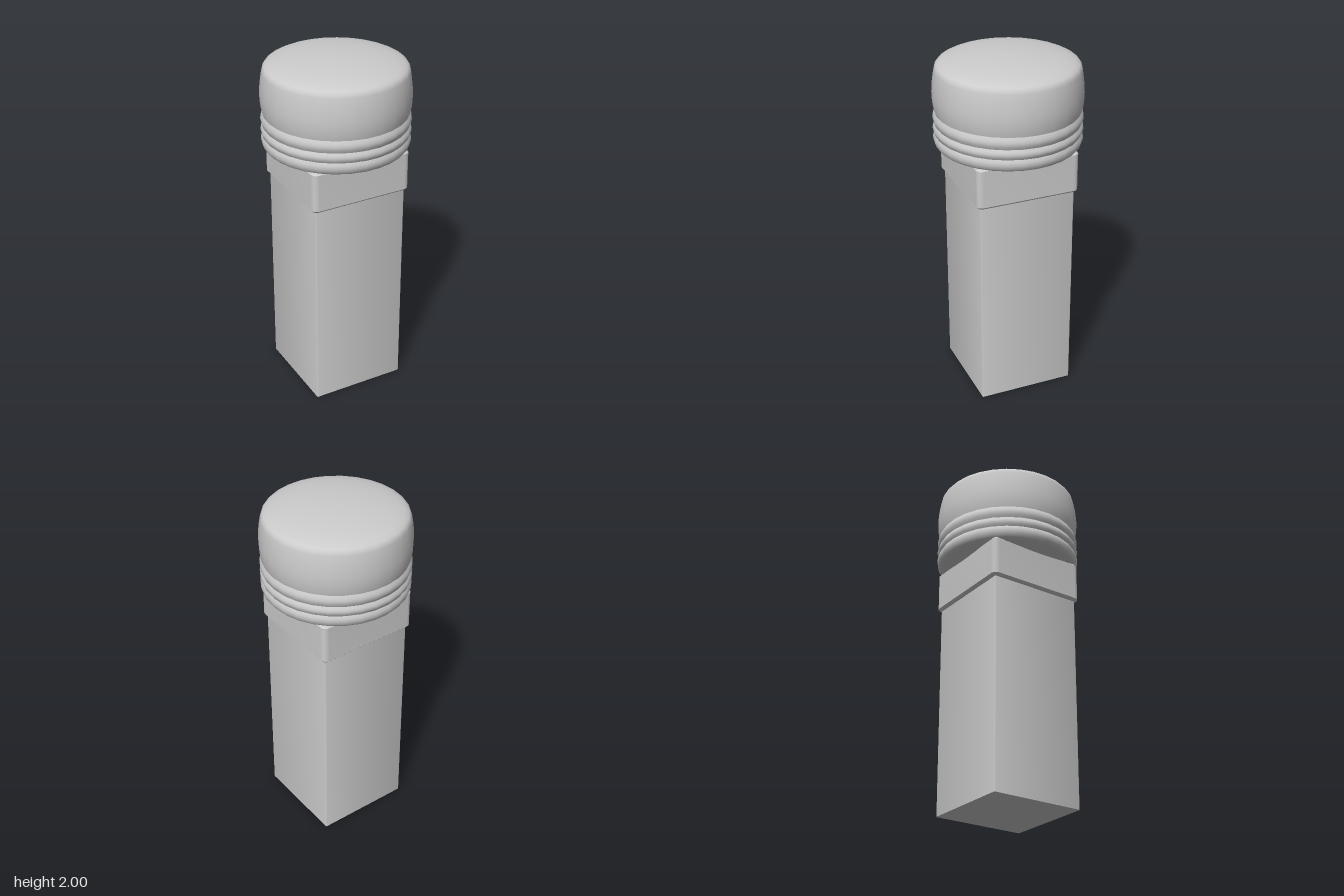
import * as THREE from 'three';
import { toCreasedNormals } from 'three/addons/utils/BufferGeometryUtils.js';

const material = new THREE.MeshStandardMaterial({ color: 0xcccccc });

function addMesh(group, name, geometry) {
  const mesh = new THREE.Mesh(geometry, material);
  mesh.name = name;
  group.add(mesh);
}

// Upright square prism with rounded vertical corners and optional end chamfers
function squarePrism(half, radius, y0, y1, chamfer) {
  const h = half - chamfer, a = h - radius;
  const shape = new THREE.Shape();
  for (let i = 0; i < 4; i++) {
    const t = (i * Math.PI) / 2;
    const sx = i === 0 || i === 3 ? 1 : -1, sy = i < 2 ? 1 : -1;
    shape.absarc(sx * a, sy * a, radius, t, t + Math.PI / 2, false);
  }
  shape.closePath();
  const geometry = new THREE.ExtrudeGeometry(shape, {
    depth: y1 - y0 - 2 * chamfer, curveSegments: 4,
    bevelEnabled: chamfer > 0, bevelThickness: chamfer, bevelSize: chamfer, bevelSegments: 1,
  });
  geometry.rotateX(-Math.PI / 2);
  geometry.translate(0, y0 + chamfer, 0);
  return toCreasedNormals(geometry, 0.6);
}

// Thirty-sided turned surface, profile given from bottom to top
function turned(profile) {
  const points = profile.map(([r, y]) => new THREE.Vector2(r, y));
  return new THREE.LatheGeometry(points, 30, Math.PI / 2);
}

export function createModel() {
  const model = new THREE.Group();
  model.name = 'cappedPost';

  addMesh(model, 'post', squarePrism(0.278, 0.006, 0, 1.26, 0));
  addMesh(model, 'collar', squarePrism(0.299, 0.02, 1.245, 1.485, 0.012));

  // Shallow bulging underside running into the lowest ring
  addMesh(model, 'lowerRing', turned([
    [0, 1.463], [0.2, 1.465], [0.3, 1.468], [0.37, 1.476], [0.397, 1.485],
    [0.408, 1.498], [0.414, 1.518], [0.413, 1.537], [0.405, 1.552],
  ]));

  // Two rounded rings separated by fine grooves
  [['middleRing', 1.552, 1.61], ['upperRing', 1.61, 1.68]].forEach(([name, y0, y1]) => {
    const profile = [];
    for (let i = 0; i <= 8; i++) {
      const t = i / 8;
      profile.push([0.404 + 0.011 * Math.sin(Math.PI * t), y0 + (y1 - y0) * t]);
    }
    addMesh(model, name, turned(profile));
  });

  // Barrel-shaped head with a soft rim and shallow dome
  addMesh(model, 'head', turned([
    [0.404, 1.68], [0.411, 1.71], [0.415, 1.75], [0.416, 1.79], [0.413, 1.84],
    [0.408, 1.88], [0.402, 1.915], [0.397, 1.932], [0.386, 1.945],
    [0.362, 1.957], [0.32, 1.969], [0.26, 1.981], [0.18, 1.991], [0.09, 1.998], [0, 2],
  ]));

  return model;
}
